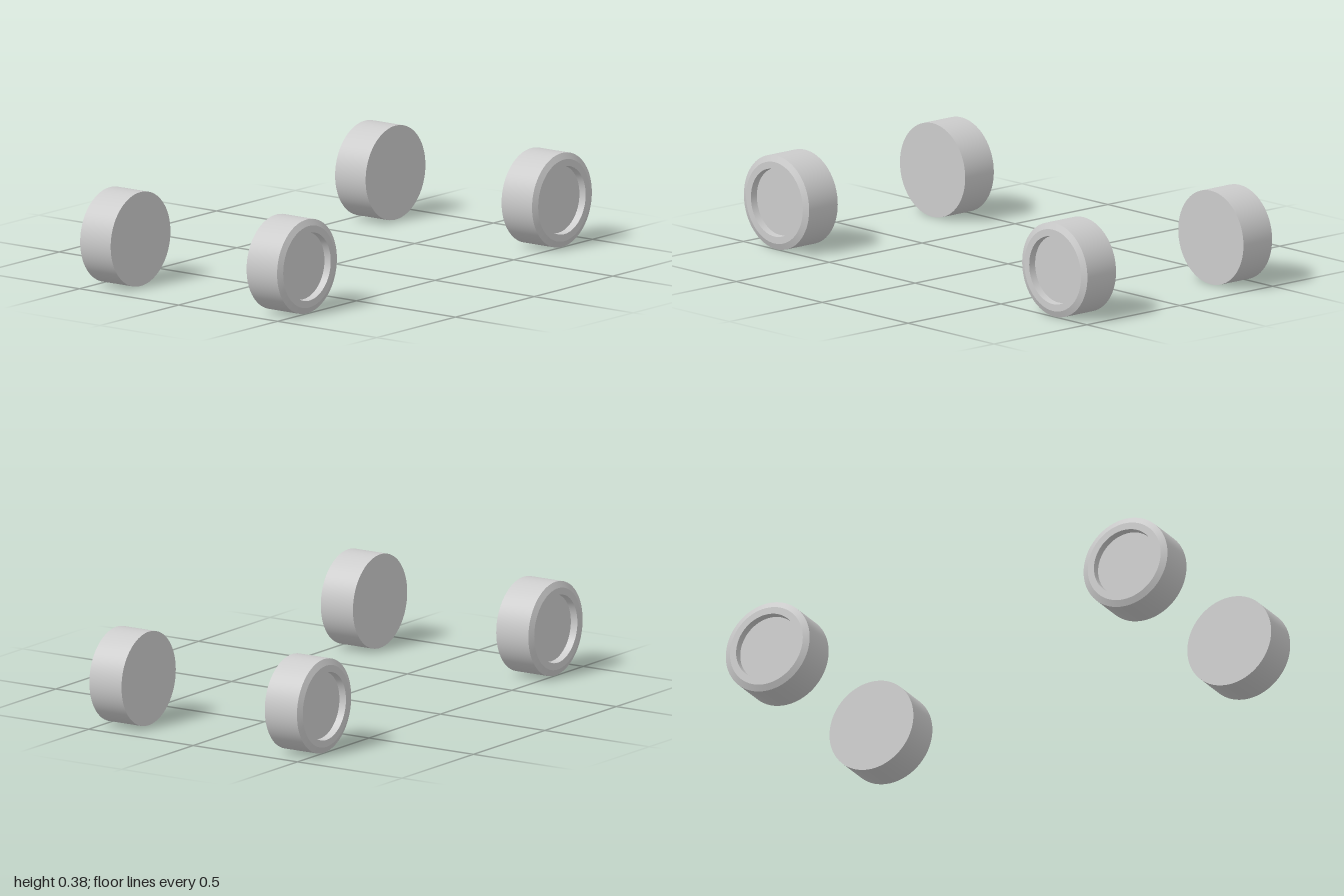
import * as THREE from 'three';
import { toCreasedNormals } from 'three/addons/utils/BufferGeometryUtils.js';

const RADIUS = 0.19;
const INNER_X = 0.343;

// Half cross-section of a wheel: [radius, distance from the inner face]
const PROFILE = [
  [0, 0],
  [RADIUS, 0],          // flat inner face
  [RADIUS, 0.154],      // tread
  [0.165, 0.165],       // bevelled outer edge
  [0.137, 0.165],       // rim
  [0.135, 0.135],       // recess wall
  [0, 0.135],           // recessed hub
];

export function createModel() {
  const model = new THREE.Group();
  model.name = 'wheelSet';

  const material = new THREE.MeshStandardMaterial({ color: 0xcccccc });
  const points = PROFILE.map(([r, d]) => new THREE.Vector2(r, d));
  const geometry = toCreasedNormals(new THREE.LatheGeometry(points, 64), 0.3);

  // One wheel per corner, recessed side facing outward
  for (const [end, z] of [['front', 0.81], ['rear', -0.81]]) {
    for (const [side, sign] of [['Left', 1], ['Right', -1]]) {
      const wheel = new THREE.Mesh(geometry, material);
      wheel.name = `${end}${side}Wheel`;
      wheel.rotation.z = -sign * Math.PI / 2;
      wheel.position.set(sign * INNER_X, RADIUS, z);
      model.add(wheel);
    }
  }
  return model;
}
